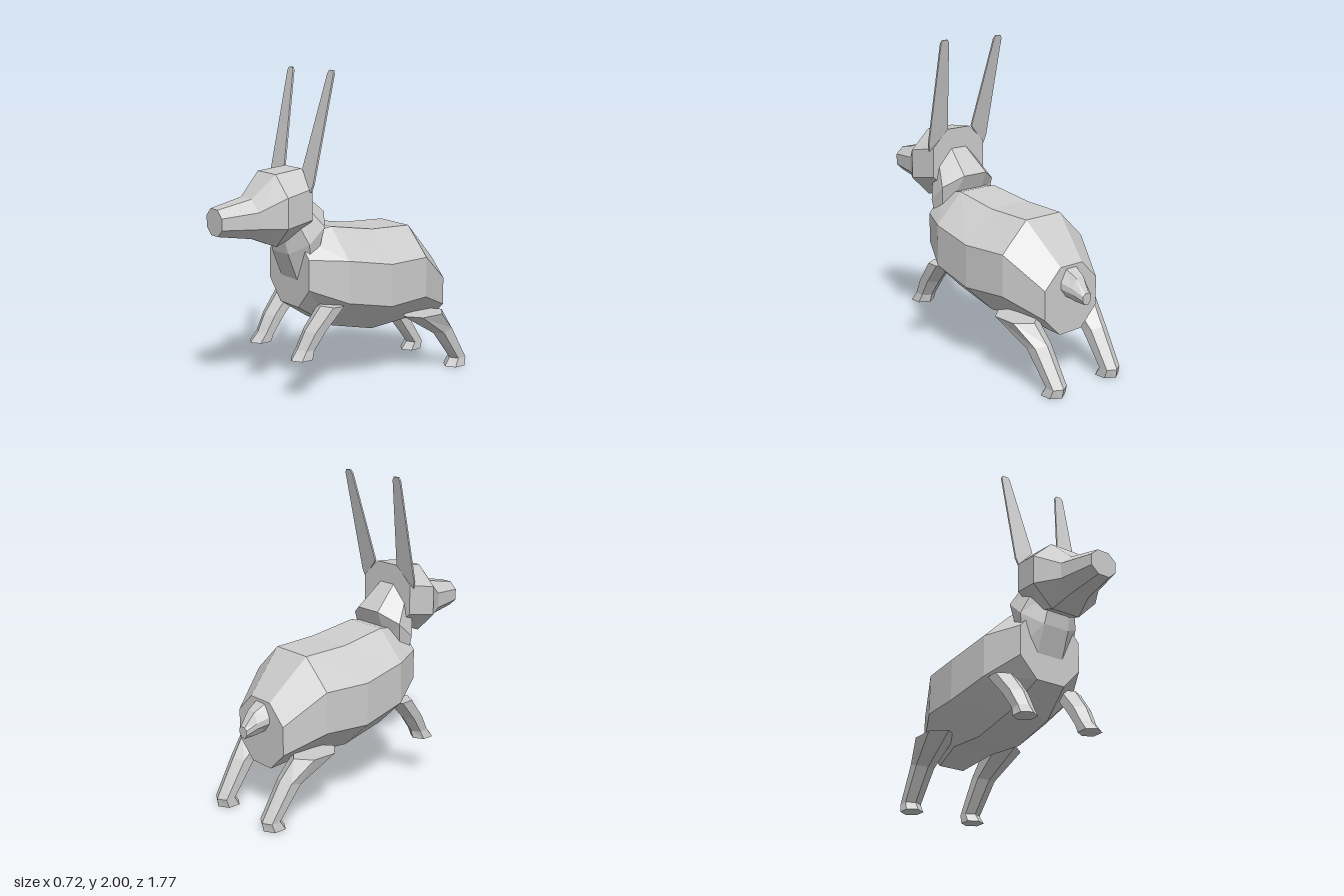
import * as THREE from 'three';

const grey = new THREE.MeshStandardMaterial({ color: 0xcccccc });
grey.name = 'light grey';
grey.flatShading = true;

// Closed skin over rings of [x, y, z] points, with flat end caps
function loft(name, rings) {
  const n = rings[0].length, tris = [];
  for (let i = 0; i < rings.length - 1; i++) {
    for (let j = 0; j < n; j++) {
      const k = (j + 1) % n;
      const a = rings[i][j], b = rings[i][k], c = rings[i + 1][k], d = rings[i + 1][j];
      tris.push([a, b, c], [a, c, d]);
    }
  }
  const first = rings[0], last = rings[rings.length - 1];
  for (let j = 1; j < n - 1; j++) {
    tris.push([first[0], first[j + 1], first[j]], [last[0], last[j], last[j + 1]]);
  }
  // turn the faces outward whichever way the rings run
  const v = tris.map(t => t.map(p => new THREE.Vector3(...p)));
  const volume = v.reduce((s, [a, b, c]) => s + a.dot(b.clone().cross(c)), 0);
  if (volume < 0) tris.forEach(t => t.reverse());
  const geo = new THREE.BufferGeometry();
  geo.setAttribute('position', new THREE.Float32BufferAttribute(tris.flat(2), 3));
  geo.computeVertexNormals();
  const mesh = new THREE.Mesh(geo, grey);
  mesh.name = name;
  return mesh;
}

// Upright octagon at z: four heights, half width of the flats and of the sides
function octagon([z, top, upper, lower, bottom, flat, wide]) {
  const right = [[flat, top], [wide, upper], [wide, lower], [flat, bottom]];
  const left = right.map(([x, y]) => [-x, y]).reverse();
  return [...right, ...left].map(([x, y]) => [x, y, z]);
}

// Octagon tilted in the side plane, from its front edge to its back edge
function tilted([fy, fz, by, bz, flat, wide]) {
  const at = (x, t) => [x, fy + (by - fy) * t, fz + (bz - fz) * t];
  const side = [[flat, 0], [wide, 0.29], [wide, 0.71], [flat, 1]];
  return [...side.map(([x, t]) => at(x, t)), ...side.map(([x, t]) => at(-x, t)).reverse()];
}

// Hexagon with its points to front and back, for the legs
function hexagon([x, w, fy, fz, by, bz], s) {
  const at = (dx, t) => [s * x + dx, fy + (by - fy) * t, fz + (bz - fz) * t];
  return [at(0, 0), at(w, 0.25), at(w, 0.75), at(0, 1), at(-w, 0.75), at(-w, 0.25)];
}

function ear(name, s) {
  const outline = [[0.10, 1.41], [0.185, 1.98], [0.198, 2.0], [0.235, 2.0],
    [0.247, 1.98], [0.24, 1.33], [0.225, 1.28]];
  // thin blade leaning backward
  const layer = off => outline.map(([x, y]) => [s * x, y, 0.357 + off - (y - 1.28) * 0.22]);
  return loft(name, [layer(-0.006), layer(0.006)]);
}

export function createModel() {
  const group = new THREE.Group();
  group.name = 'longEaredAnimal';

  group.add(loft('body', [
    [0.37, 1.0, 0.87, 0.68, 0.55, 0.10, 0.22],
    [0.15, 1.04, 0.855, 0.59, 0.41, 0.14, 0.33],
    [-0.16, 0.99, 0.80, 0.53, 0.34, 0.15, 0.36],
    [-0.46, 0.98, 0.80, 0.54, 0.36, 0.14, 0.33],
    [-0.705, 0.73, 0.61, 0.43, 0.31, 0.09, 0.215],
  ].map(octagon)));

  group.add(loft('neck', [
    [0.71, 0.365, 0.92, 0.25, 0.09, 0.18],
    [0.89, 0.435, 1.13, 0.17, 0.09, 0.21],
    [1.09, 0.47, 1.28, 0.335, 0.06, 0.14],
  ].map(tilted)));

  group.add(loft('head', [
    [0.335, 1.41, 1.30, 1.11, 1.02, 0.09, 0.21],
    [0.525, 1.39, 1.265, 1.08, 0.95, 0.10, 0.235],
    [0.67, 1.25, 1.18, 1.08, 1.01, 0.06, 0.14],
    [0.89, 1.205, 1.16, 1.09, 1.045, 0.04, 0.09],
  ].map(octagon)));

  group.add(loft('tail', [
    [-0.69, 0.72, 0.64, 0.60, 0.545, 0.045, 0.09],
    [-0.775, 0.67, 0.61, 0.575, 0.525, 0.03, 0.06],
    [-0.838, 0.585, 0.57, 0.54, 0.515, 0.015, 0.035],
  ].map(octagon)));

  // legs: centre x, half width, front y and z, back y and z
  const frontLeg = [
    [0.24, 0.08, 0.58, 0.30, 0.575, 0.14],
    [0.232, 0.068, 0.44, 0.41, 0.43, 0.27],
    [0.228, 0.058, 0.33, 0.465, 0.32, 0.35],
    [0.235, 0.062, 0.27, 0.515, 0.27, 0.36],
  ];
  const hindLeg = [
    [0.255, 0.097, 0.412, -0.34, 0.412, -0.66],
    [0.235, 0.066, 0.25, -0.61, 0.29, -0.75],
    [0.228, 0.056, 0.055, -0.76, 0.055, -0.885],
    [0.232, 0.062, 0, -0.72, 0, -0.875],
  ];
  for (const [s, side] of [[1, 'left'], [-1, 'right']]) {
    group.add(loft(side + 'FrontLeg', frontLeg.map(r => hexagon(r, s))));
    group.add(loft(side + 'HindLeg', hindLeg.map(r => hexagon(r, s))));
    group.add(ear(side + 'Ear', s));
  }
  return group;
}
